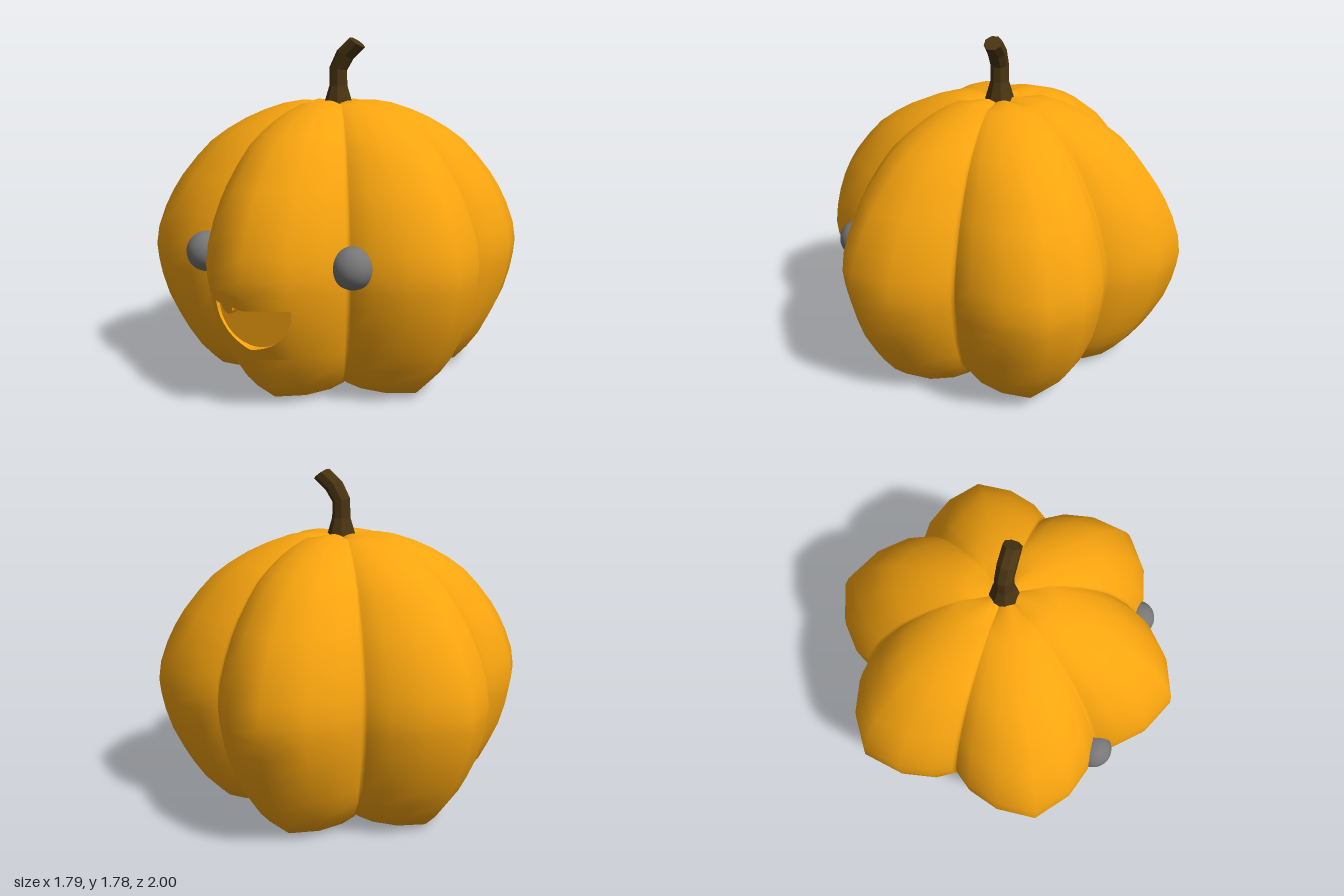
import * as THREE from 'three';

const skin = new THREE.MeshStandardMaterial({ color: 0xf9a50f });
const skinFlat = new THREE.MeshStandardMaterial({ color: 0xf9a50f, flatShading: true, side: THREE.DoubleSide });
const eyeGrey = new THREE.MeshStandardMaterial({ color: 0x777777 });
const stemBrown = new THREE.MeshStandardMaterial({ color: 0x4a3512, flatShading: true });

// Surface through loops of points; each loop is closed
function loft(loops, skip = () => false) {
  const n = loops[0].length, index = [];
  for (let j = 0; j < loops.length - 1; j++)
    for (let i = 0; i < n; i++) {
      if (skip(i, j)) continue;
      const a = j * n + i, b = j * n + (i + 1) % n;
      index.push(a, b, b + n, a, b + n, a + n);
    }
  const g = new THREE.BufferGeometry();
  g.setAttribute('position', new THREE.Float32BufferAttribute(loops.flat(2), 3));
  g.setIndex(index);
  g.computeVertexNormals();
  return g;
}

function add(group, name, geometry, material) {
  const m = new THREE.Mesh(geometry, material);
  m.name = name;
  group.add(m);
  return m;
}

// Lobe cross-section: angle from the ridge in degrees, and radius
const LOBE = [[-30, .768], [-29, .785], [-22.7, .856], [-12.3, .937], [0, 1], [12.3, .937], [22.7, .856], [29, .785]];
// Ridge profile: radius, height
const RIDGE = [[0, .03], [.25, .022], [.45, .008], [.58, 0], [.7, .016], [.77, .085], [.835, .18], [.885, .27],
  [.94, .385], [.975, .5], [.992, .59], [1, .67], [.985, .77], [.945, .88], [.9, .97], [.85, 1.05], [.77, 1.15],
  [.69, 1.235], [.6, 1.3], [.5, 1.358], [.4, 1.402], [.29, 1.438], [.2, 1.453], [.1, 1.452], [0, 1.43]];

function bodyLoops() {
  return RIDGE.map(([r, y]) => {
    const loop = [];
    for (let l = 0; l < 6; l++)
      for (const [deg, f] of LOBE) {
        const a = THREE.MathUtils.degToRad(deg + 60 * l), w = (1 - f) / .23;
        // grooves rise underneath and sink around the stem
        let lift = 0;
        if (r > 0 && y < .1) lift = .045 * w;
        if (r > 0 && r < .25 && y > 1) lift = -.02 * w;
        loop.push([Math.sin(a) * r * f, y + lift, Math.cos(a) * r * f]);
      }
    return loop;
  });
}

export function createModel() {
  const group = new THREE.Group();

  // Ribbed body, open where the mouth is cut into the front lobe
  const loops = bodyLoops();
  const full = new THREE.Mesh(loft(loops), skin);
  const ray = new THREE.Raycaster();
  const hit = (x, y) => {
    ray.set(new THREE.Vector3(x, y, 3), new THREE.Vector3(0, 0, -1));
    return ray.intersectObject(full)[0];
  };
  const row0 = RIDGE.findIndex(p => p[1] === .27), row1 = RIDGE.findIndex(p => p[1] === .59);
  const body = loft(loops, (i, j) => i >= 2 && i < 6 && j >= row0 && j < row1);
  body.setAttribute('normal', full.geometry.attributes.normal.clone());
  add(group, 'body', body, skin);

  // Half-round mouth outline, counter-clockwise
  const outline = [], R = .205, TOP = .53, FLOOR = .86;
  for (let i = 0; i < 32; i++) {
    const a = Math.PI * (1 + i / 32);
    outline.push([R * Math.cos(a), TOP + R * Math.sin(a)]);
  }
  for (let i = 0; i < 16; i++) outline.push([R * (1 - i / 8), TOP]);

  // Skin between the mouth outline and the opening in the body
  const cy = .46, rings = [], normals = [];
  for (let j = 0; j <= 6; j++)
    rings.push(outline.map(([x, y]) => {
      const dx = x, dy = y - cy;
      const s = Math.min(.33 / (Math.abs(dx) + 1e-6), (dy > 0 ? .14 : .2) / (Math.abs(dy) + 1e-6));
      const k = 1 + (s - 1) * j / 6;
      const px = dx * k, py = cy + dy * k, h = hit(px, py);
      normals.push(h.normal.x, h.normal.y, h.normal.z);
      return [px, py, h.point.z];
    }));
  const lip = loft([...rings].reverse());
  const flipped = [];
  for (let j = 6; j >= 0; j--) flipped.push(...normals.slice(j * outline.length * 3, (j + 1) * outline.length * 3));
  lip.setAttribute('normal', new THREE.Float32BufferAttribute(flipped, 3));
  add(group, 'mouthSurround', lip, skin);

  // Recess wall and flat back of the mouth
  const deep = outline.map(([x, y]) => [x, y, FLOOR]);
  add(group, 'mouthWall', loft([rings[0], deep]), skinFlat);
  const floor = new THREE.ShapeGeometry(new THREE.Shape(outline.map(p => new THREE.Vector2(...p))));
  add(group, 'mouthBack', floor.translate(0, 0, FLOOR), skin);

  // Single tooth, its front following the body surface
  const half = new THREE.Shape();
  half.absarc(0, 0, .042, Math.PI, 2 * Math.PI, false);
  const tooth = new THREE.ExtrudeGeometry(half, { depth: 1, bevelEnabled: false, curveSegments: 12 });
  tooth.translate(-.115, TOP, 0);
  const tp = tooth.attributes.position;
  for (let i = 0; i < tp.count; i++)
    tp.setZ(i, tp.getZ(i) > .5 ? hit(tp.getX(i), tp.getY(i)).point.z : FLOOR);
  tooth.computeVertexNormals();
  add(group, 'tooth', tooth, skin);

  // Eyes
  for (const s of [1, -1])
    add(group, s > 0 ? 'leftEye' : 'rightEye', new THREE.SphereGeometry(.102, 32, 20), eyeGrey)
      .position.set(s * .41, .707, .67);

  // Bent, faceted stem: x, y, radius, tilt
  const STEM = [[0, 1.4, .082, 0], [0, 1.53, .046, 0], [0, 1.62, .045, .22], [.042, 1.695, .047, .5],
    [.113, 1.757, .045, .61], [.113, 1.757, 0, .61]];
  const stem = loft(STEM.map(([x, y, r, t]) => Array.from({ length: 8 }, (_, i) => {
    const a = (i + .5) * Math.PI / 4, u = r * 1.06 * Math.sin(a);
    return [x + u * Math.cos(t), y - u * Math.sin(t), r * 1.06 * Math.cos(a)];
  })));
  add(group, 'stem', stem, stemBrown);

  return group;
}
